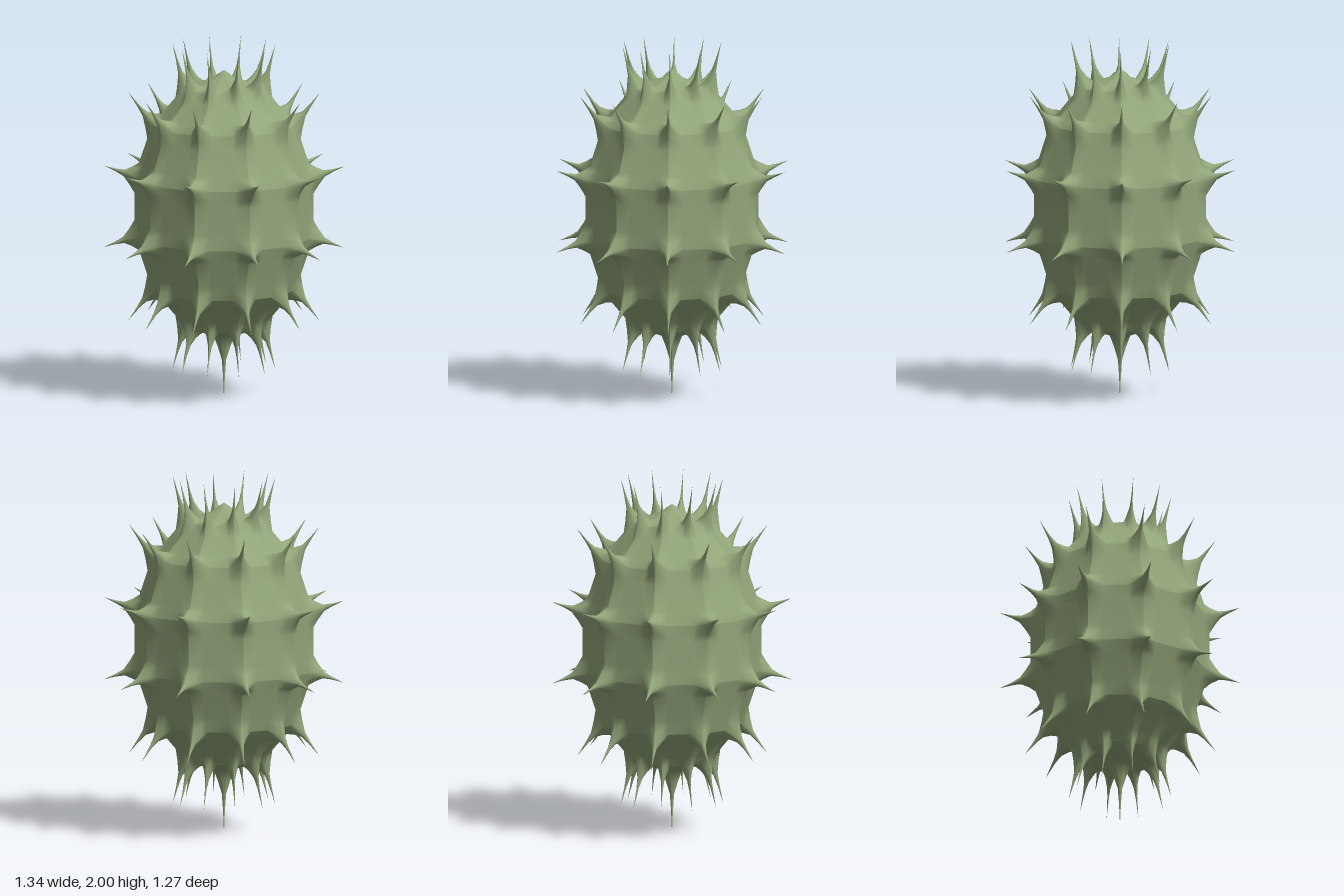
import * as THREE from 'three';

const SIDES = 10;
// Rings from top pole to bottom pole: body corner [radius, y] and its spike tip [radius, y]
const TOP = [
  { base: [0.221, 1.753], tip: [0.285, 2.0] },
  { base: [0.399, 1.545], tip: [0.53, 1.725] },
  { base: [0.497, 1.25], tip: [0.668, 1.313] },
];
const MID = 1.083;
const flip = ([r, y]) => [r, 2 * MID - y];
const RINGS = [
  { base: [0, 1.825], tip: [0, 1.853], blunt: true },
  ...TOP,
  ...TOP.slice().reverse().map((k) => ({ base: flip(k.base), tip: flip(k.tip) })),
  { base: [0, 0.34], tip: [0, 0] },
];

// Grid lines inside each panel, dense near the corners where the spikes rise
const NEAR = [0, 0.025, 0.055, 0.16, 0.27];
const LINES = [...NEAR, ...NEAR.map((t) => 1 - t).reverse()];
const SHARP = [1, 0.62, 0.36, 0.16, 0];
const BLUNT = [1, 0.95, 0.85, 0.6, 0];

// Spike height as a fraction, by distance from its corner
function rise(d, heights) {
  for (let i = 1; i < NEAR.length; i++) {
    if (d <= NEAR[i]) {
      const k = (d - NEAR[i - 1]) / (NEAR[i] - NEAR[i - 1]);
      return heights[i - 1] + (heights[i] - heights[i - 1]) * k;
    }
  }
  return 0;
}

const polar = ([r, y], a) => new THREE.Vector3(r * Math.cos(a), y, r * Math.sin(a));

// One panel between two rings and two meridians, with a quarter spike at each corner
function panel(upper, lower, a0, a1) {
  const corners = [
    [upper, a0, 0, 0], [upper, a1, 1, 0], [lower, a0, 0, 1], [lower, a1, 1, 1],
  ].map(([ring, a, u, v]) => {
    const base = polar(ring.base, a);
    return { ring, u, v, base, lift: polar(ring.tip, a).sub(base) };
  });
  const n = LINES.length;
  const pts = [];
  for (const v of LINES) {
    for (const u of LINES) {
      const p = new THREE.Vector3();
      for (const c of corners) {
        const du = Math.abs(u - c.u), dv = Math.abs(v - c.v);
        p.addScaledVector(c.base, (1 - du) * (1 - dv));
        // A pole is shared by a whole panel edge, so its spike is split across it
        const pole = c.ring.base[0] === 0;
        const h = rise(pole ? dv : Math.hypot(du, dv), c.ring.blunt ? BLUNT : SHARP);
        p.addScaledVector(c.lift, pole ? h * (1 - du) : h);
      }
      pts.push(p);
    }
  }
  const index = [];
  const tri = (a, b, c) => {
    const same = (p, q) => pts[p].distanceToSquared(pts[q]) < 1e-12;
    if (!same(a, b) && !same(b, c) && !same(c, a)) index.push(a, b, c);
  };
  for (let j = 0; j < n - 1; j++) {
    for (let i = 0; i < n - 1; i++) {
      const a = j * n + i, b = a + 1, c = a + n, d = c + 1;
      // Diagonals run away from the nearest spike
      if ((i < n / 2 - 1) === (j < n / 2 - 1)) { tri(a, b, d); tri(a, d, c); }
      else { tri(a, b, c); tri(b, d, c); }
    }
  }
  const g = new THREE.BufferGeometry().setFromPoints(pts);
  g.setIndex(index);
  g.computeVertexNormals();
  return g;
}

export function createModel() {
  const group = new THREE.Group();
  group.name = 'spikyBall';
  const material = new THREE.MeshStandardMaterial({ color: 0x93a67a });
  for (let k = 0; k < RINGS.length - 1; k++) {
    const band = new THREE.Group();
    band.name = `spikedBand${k + 1}`;
    for (let s = 0; s < SIDES; s++) {
      const a0 = (s / SIDES) * Math.PI * 2, a1 = ((s + 1) / SIDES) * Math.PI * 2;
      const mesh = new THREE.Mesh(panel(RINGS[k], RINGS[k + 1], a0, a1), material);
      mesh.name = 'panel';
      band.add(mesh);
    }
    group.add(band);
  }
  return group;
}
